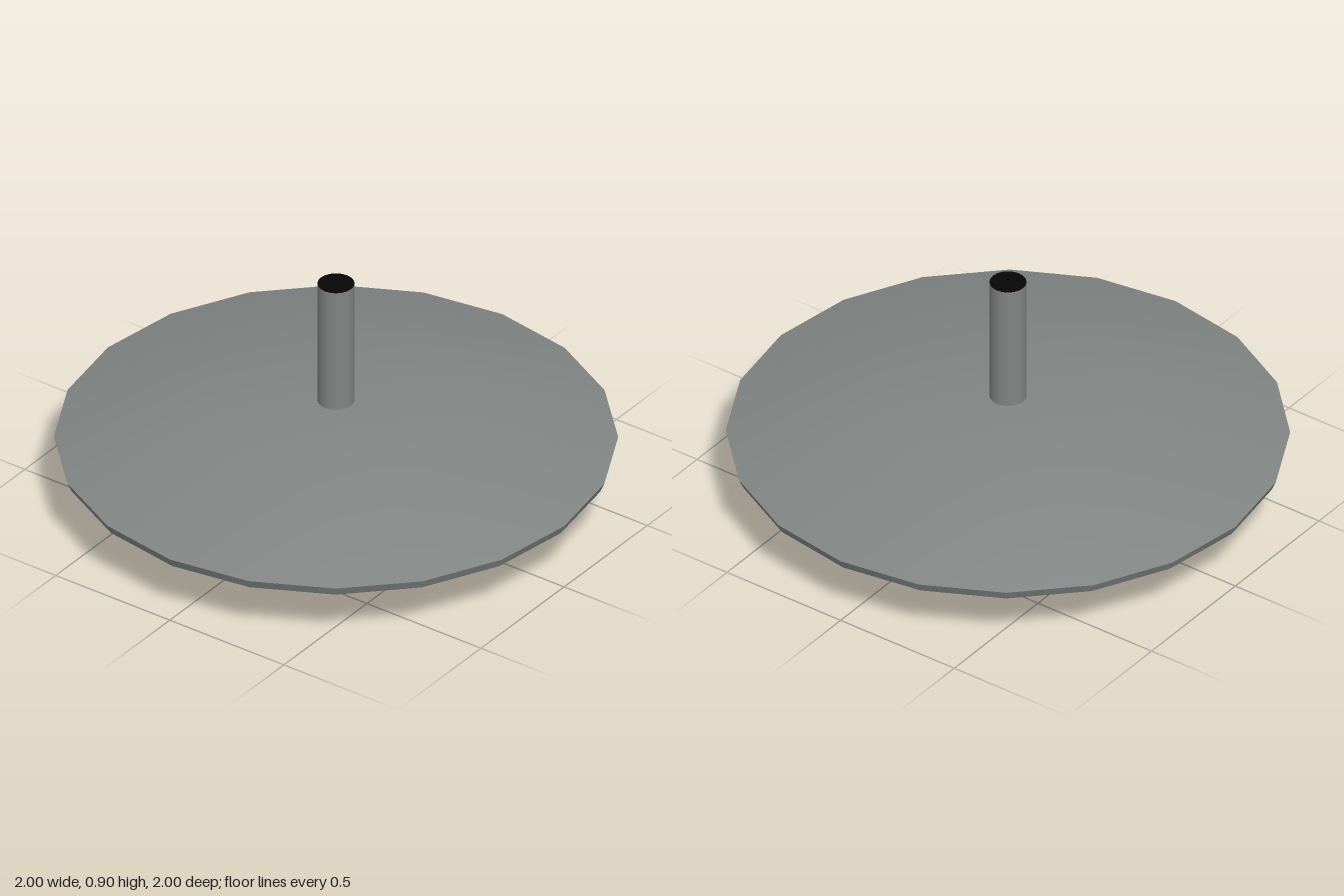
import * as THREE from 'three';

const SIDES = 20;

export function createModel() {
  const model = new THREE.Group();
  const metal = new THREE.MeshStandardMaterial({ color: 0x808584 });
  metal.name = 'grey metal';
  const black = new THREE.MeshStandardMaterial({ color: 0x060606 });
  black.name = 'black';

  // Revolved [radius, height] profile; separate strips keep their shared edges sharp
  function turned(name, profile, material = metal) {
    const points = profile.map(([r, y]) => new THREE.Vector2(r, y));
    const mesh = new THREE.Mesh(new THREE.LatheGeometry(points, SIDES), material);
    mesh.name = name;
    model.add(mesh);
  }

  // Wide shade: sloping top, thin rim and hollow underside
  turned('shadeTop', [[1, 0.255], [0.47, 0.41], [0, 0.41]]);
  turned('shadeRim', [[0.985, 0.22], [1, 0.255]]);
  turned('shadeUnderside', [[0.46, 0.345], [0.985, 0.22]]);

  // Tapered lamp housing with a recessed, slightly bulging lens
  turned('housing', [[0.37, 0.025], [0.46, 0.345]]);
  turned('housingLip', [[0.32, 0.02], [0.36, 0.02], [0.37, 0.025]]);
  turned('lensRecess', [[0.29, 0.055], [0.32, 0.02]]);
  turned('lens', [[0, 0], [0.29, 0.055]]);

  // Hanging rod with a dark end
  turned('rod', [[0.066, 0.405], [0.066, 0.9]]);
  turned('rodEnd', [[0.066, 0.9], [0, 0.9]], black);

  return model;
}
